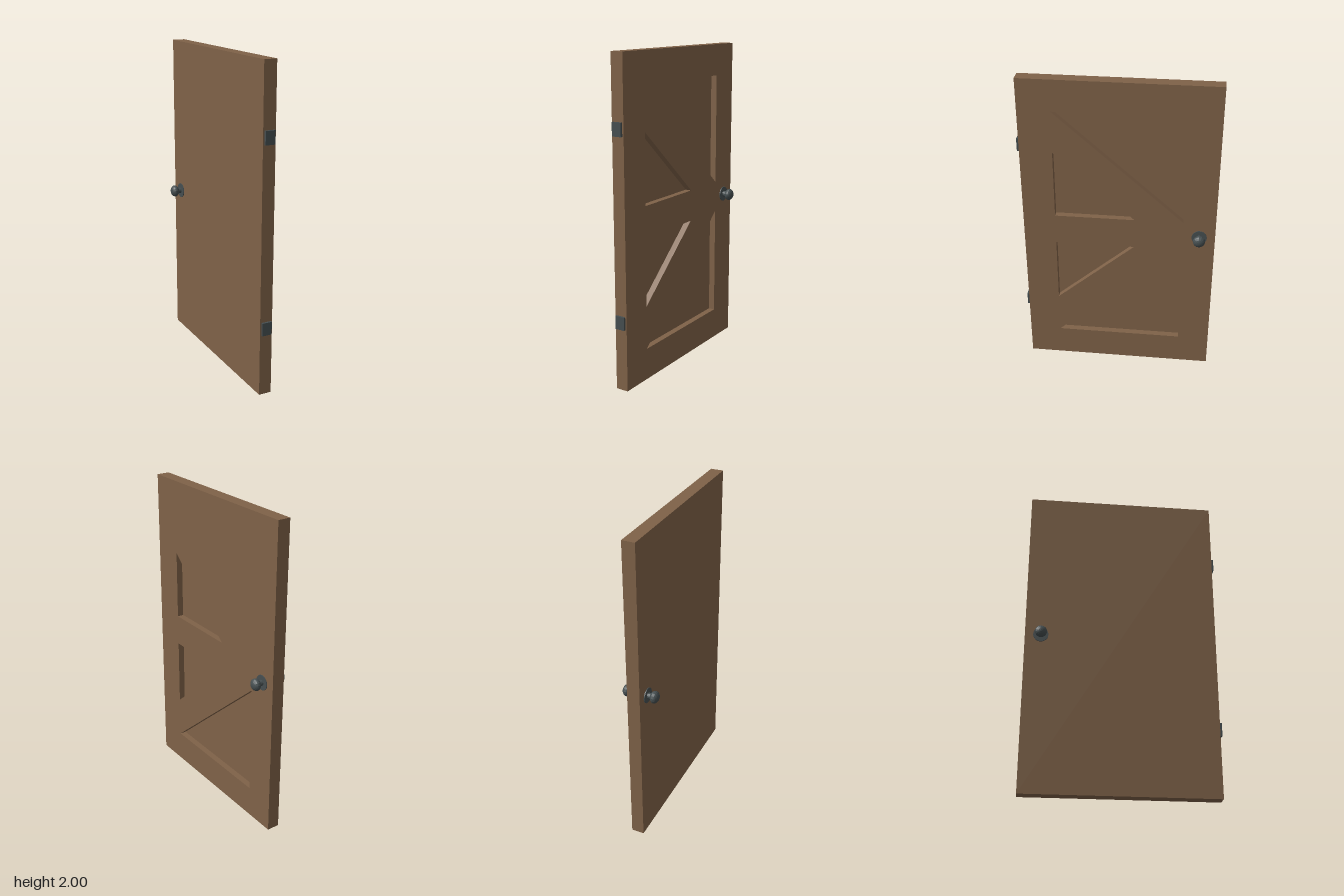
import * as THREE from 'three';

export function createModel() {
  const wood = new THREE.MeshStandardMaterial({ color: 0x7f6248 });
  wood.name = 'brown wood';
  const iron = new THREE.MeshStandardMaterial({ color: 0x454e50, flatShading: true });
  iron.name = 'dark iron';

  const model = new THREE.Group();
  model.name = 'door';

  const midX = -0.0015, half = 0.04, recess = 0.04;
  const add = (parent, name, geometry, material, x, y, z) => {
    const mesh = new THREE.Mesh(geometry, material);
    mesh.name = name;
    mesh.position.set(x, y, z);
    parent.add(mesh);
    return mesh;
  };

  // Plain back half of the door
  const backDepth = 2 * half - recess;
  add(model, 'backPanel', new THREE.BoxGeometry(backDepth, 2, 1.2), wood,
    midX - half + backDepth / 2, 1, -0.007);

  // Front frame with four triangular recesses; shape x runs along -z
  const toPath = (points, Type) => new Type(points.map(([z, y]) => new THREE.Vector2(-z, y)));
  const frame = toPath([[0.593, 0], [-0.607, 0], [-0.607, 2], [0.593, 2]], THREE.Shape);
  const recesses = [
    [[0.392, 1.803], [-0.408, 1.803], [-0.408, 1.1]],
    [[0.392, 1.537], [0.392, 1.1], [-0.106, 1.1]],
    [[0.392, 0.902], [0.392, 0.473], [-0.104, 0.902]],
    [[0.392, 0.2], [-0.408, 0.2], [-0.408, 0.902]],
  ];
  recesses.forEach((points) => frame.holes.push(toPath(points, THREE.Path)));
  const frameGeometry = new THREE.ExtrudeGeometry(frame, { depth: recess, bevelEnabled: false });
  frameGeometry.rotateY(Math.PI / 2);
  add(model, 'bracedFrame', frameGeometry, wood, midX + half - recess, 0, 0);

  // Hinges on the front edge
  for (const y of [0.43, 1.574]) {
    add(model, 'hinge', new THREE.BoxGeometry(0.062, 0.081, 0.024), iron, midX, y, 0.595);
  }

  // A knob on each face, built along +y and turned outward
  for (const side of [1, -1]) {
    const knob = new THREE.Group();
    knob.name = side > 0 ? 'leftKnob' : 'rightKnob';
    add(knob, 'rosette', new THREE.CylinderGeometry(0.047, 0.047, 0.008, 24), iron, 0, 0.002, 0);
    add(knob, 'neck', new THREE.CylinderGeometry(0.018, 0.018, 0.032, 16), iron, 0, 0.016, 0);
    add(knob, 'handle', new THREE.SphereGeometry(0.038, 14, 10), iron, 0, 0.048, 0)
      .scale.y = 0.027 / 0.038;
    knob.rotation.z = -side * Math.PI / 2;
    knob.position.set(midX + side * half, 1.002, -0.509);
    model.add(knob);
  }

  return model;
}
